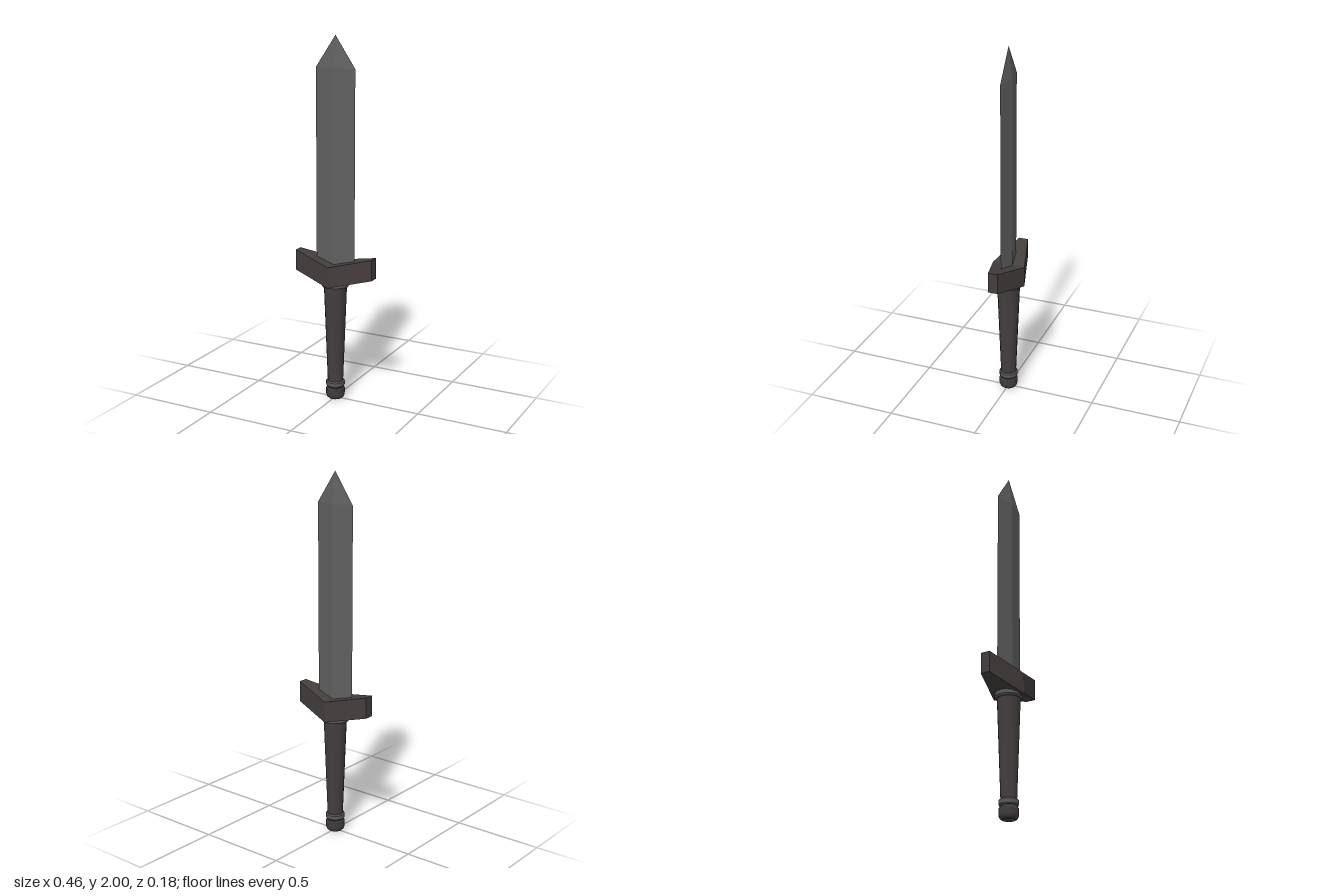
import * as THREE from 'three';
import { toCreasedNormals } from 'three/addons/utils/BufferGeometryUtils.js';

const steel = new THREE.MeshStandardMaterial({ color: 0x606060 });
steel.name = 'blade steel';
const darkWood = new THREE.MeshStandardMaterial({ color: 0x443e3d });
darkWood.name = 'dark brown';
const bandGrey = new THREE.MeshStandardMaterial({ color: 0x575b59 });
bandGrey.name = 'band grey';

// Flat facets for the blade and guard
function flat(geometry) {
  const g = geometry.toNonIndexed();
  g.computeVertexNormals();
  return g;
}

// Round part from [radius, height] points, bottom to top
function turned(points) {
  const profile = points.map(([r, y]) => new THREE.Vector2(r, y));
  return toCreasedNormals(new THREE.LatheGeometry(profile, 16), 0.5);
}

export function createModel() {
  const model = new THREE.Group();
  model.name = 'sword';
  const add = (name, geometry, material) => {
    const mesh = new THREE.Mesh(geometry, material);
    mesh.name = name;
    model.add(mesh);
  };

  // Diamond-section blade and its four-sided point
  const bladeBody = new THREE.CylinderGeometry(1, 1, 1.13, 4, 1, true);
  bladeBody.scale(0.115, 1, 0.022).translate(0, 1.265, 0);
  add('blade', flat(bladeBody), steel);

  const bladeTip = new THREE.ConeGeometry(1, 0.17, 4, 1, true);
  bladeTip.scale(0.115, 1, 0.022).translate(0, 1.915, 0);
  add('bladeTip', flat(bladeTip), steel);

  // Guard: arms rise and narrow towards their ends
  const guard = new THREE.BoxGeometry(0.46, 0.115, 2, 2, 1, 1);
  const p = guard.attributes.position;
  for (let i = 0; i < p.count; i++) {
    const t = Math.abs(p.getX(i)) / 0.23;
    p.setY(i, p.getY(i) + 0.7175 + 0.055 * t);
    p.setZ(i, p.getZ(i) * (0.092 - 0.066 * t));
  }
  add('guard', flat(guard), darkWood);

  // Collar under the guard
  add('collar', turned([[0, 0.645], [0.068, 0.645], [0.075, 0.655], [0.075, 0.69], [0, 0.69]]), bandGrey);

  // Tapered grip
  add('grip', turned([[0.043, 0.05], [0.043, 0.11], [0.063, 0.65]]), darkWood);

  // Ring and rounded pommel
  add('pommelRing', turned([[0, 0.07], [0.047, 0.07], [0.052, 0.077], [0.052, 0.098], [0.047, 0.105], [0, 0.105]]), bandGrey);
  add('pommel', turned([[0, 0], [0.038, 0], [0.047, 0.008], [0.052, 0.022], [0.052, 0.056], [0.046, 0.065], [0, 0.065]]), darkWood);

  return model;
}
